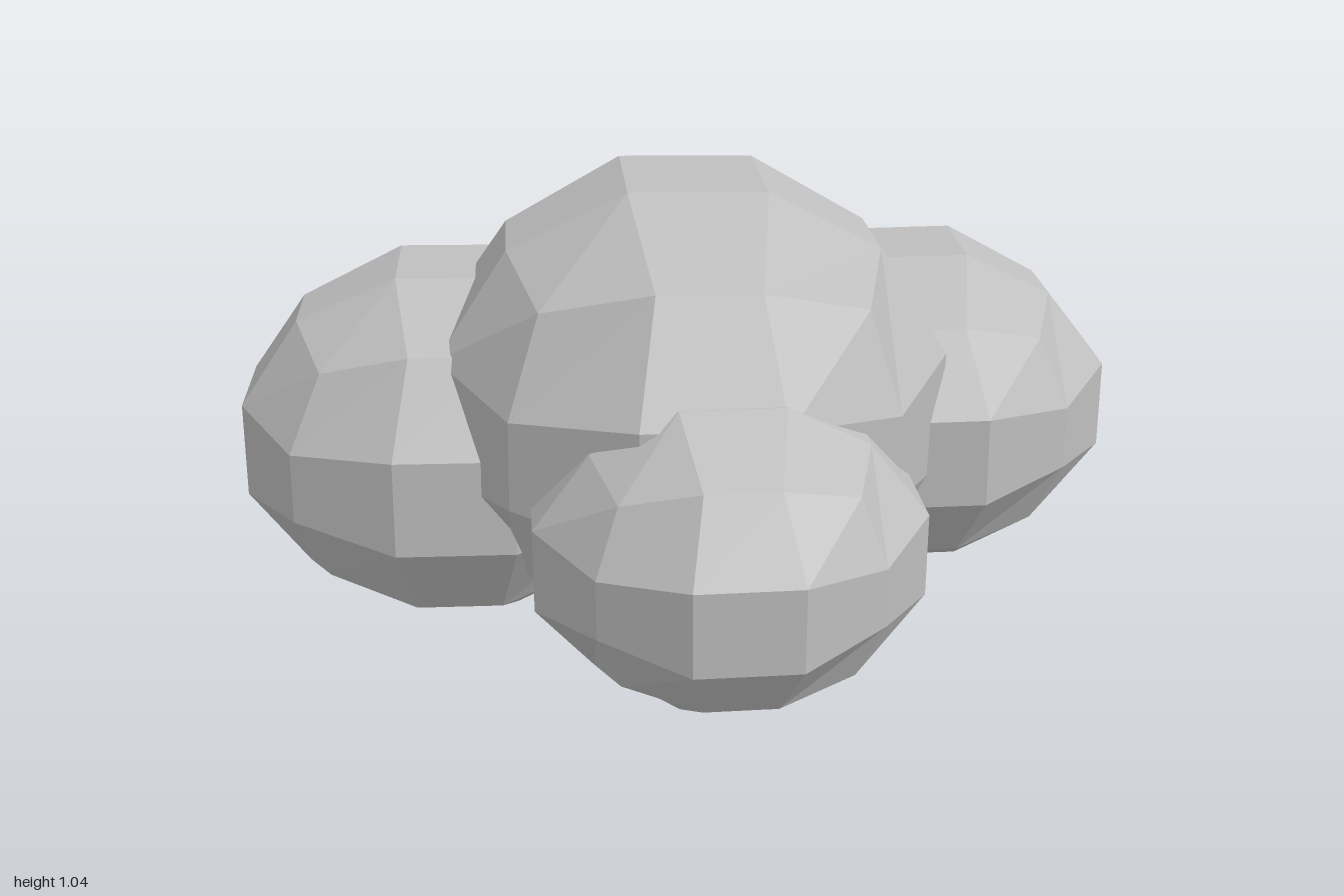
import * as THREE from 'three';

// Low-poly ball: a cube with 3x3 quads per side, bulged into an ellipsoid.
// shoulder scales the points along the cube's edges, corner those at its corners.
function blobGeometry([rx, ry, rz], shoulder, corner) {
  const box = new THREE.BoxGeometry(2, 2, 2, 3, 3, 3);
  const pos = box.attributes.position;
  const v = new THREE.Vector3();
  for (let i = 0; i < pos.count; i++) {
    v.fromBufferAttribute(pos, i);
    const outer = v.toArray().filter((c) => Math.abs(c) > 0.99).length;
    // equal-angle spacing gives twelve-sided outlines
    v.set(...v.toArray().map((c) => Math.tan((c * Math.PI) / 4)));
    v.normalize().multiplyScalar([1, 1, shoulder, corner][outer]);
    pos.setXYZ(i, v.x * rx, v.y * ry, v.z * rz);
  }
  const flat = box.toNonIndexed();
  flat.computeVertexNormals();
  return flat;
}

export function createModel() {
  const group = new THREE.Group();
  group.name = 'blobCluster';
  const grey = new THREE.MeshStandardMaterial({ color: 0xbebebe, flatShading: true });
  grey.name = 'grey';

  // name, centre, radii, rotation, shoulder, corner
  const blobs = [
    ['mainBlob', [0, 0.537, -0.1], [0.592, 0.535, 0.622], [0, 0, -0.02], 0.98, 0.99],
    ['rightBlob', [-0.52, 0.405, -0.25], [0.513, 0.43, 0.502], [0, 0, -0.02], 0.99, 0.97],
    ['leftBlob', [0.54, 0.427, -0.31], [0.486, 0.405, 0.473], [0, -0.04, 0.015], 0.96, 0.95],
    ['frontBlob', [0.04, 0.375, 0.35], [0.428, 0.358, 0.432], [0, 0, 0], 0.95, 0.95],
  ];
  for (const [name, centre, radii, rotation, shoulder, corner] of blobs) {
    const mesh = new THREE.Mesh(blobGeometry(radii, shoulder, corner), grey);
    mesh.name = name;
    mesh.position.set(...centre);
    mesh.rotation.set(...rotation);
    group.add(mesh);
  }
  return group;
}
